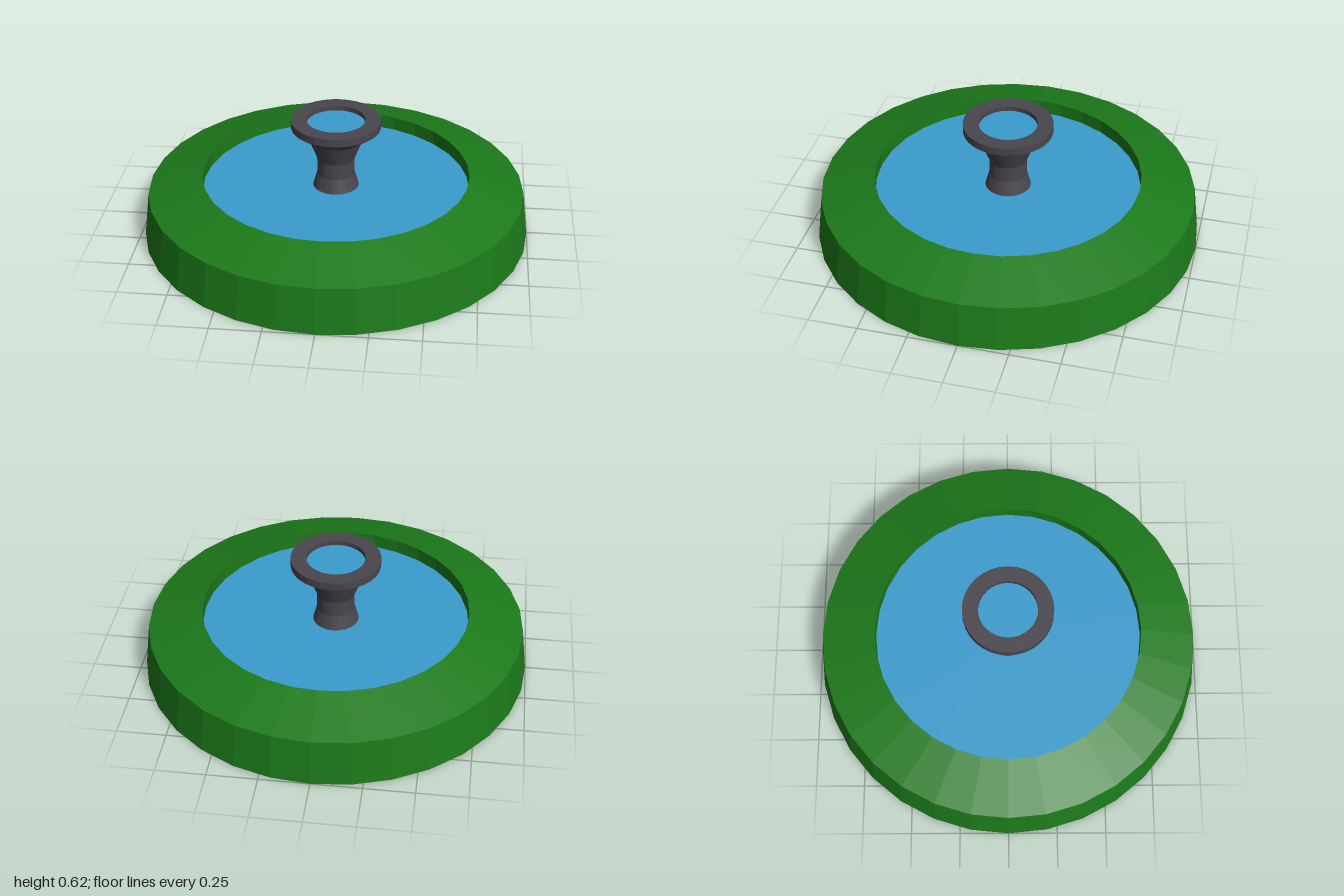
import * as THREE from 'three';

const SIDES = 32;

export function createModel() {
  const group = new THREE.Group();
  const material = (color) => new THREE.MeshStandardMaterial({ color, flatShading: true });
  const hedge = material(0x1c7a1a);
  const stone = material(0x4a454e);
  const water = material(0x3a9ccd);

  function add(name, geometry, mat) {
    const mesh = new THREE.Mesh(geometry, mat);
    mesh.name = name;
    group.add(mesh);
    return mesh;
  }
  const lathe = (points) =>
    new THREE.LatheGeometry(points.map(([r, y]) => new THREE.Vector2(r, y)), SIDES);

  // Flat disc of water facing up, its corners in line with the lathe's
  function addWater(name, radius, y) {
    const disc = new THREE.CircleGeometry(radius, SIDES);
    disc.rotateX(-Math.PI / 2);
    add(name, disc, water).position.y = y;
  }

  // Basin: closed underside, leaning wall, sloping rim, straight inner wall
  add('basin', lathe([[0, 0], [1, 0], [0.97, 0.235], [0.69, 0.315], [0.69, 0.24]]), hedge);
  addWater('basinWater', 0.69, 0.24);

  // Pedestal: flared foot, waist, cup and flat lip with a shallow hollow
  add('pedestal', lathe([
    [0.118, 0.24], [0.097, 0.315], [0.097, 0.4], [0.14, 0.51],
    [0.23, 0.575], [0.23, 0.615], [0.15, 0.615], [0.15, 0.59],
  ]), stone);
  addWater('cupWater', 0.15, 0.59);

  return group;
}
